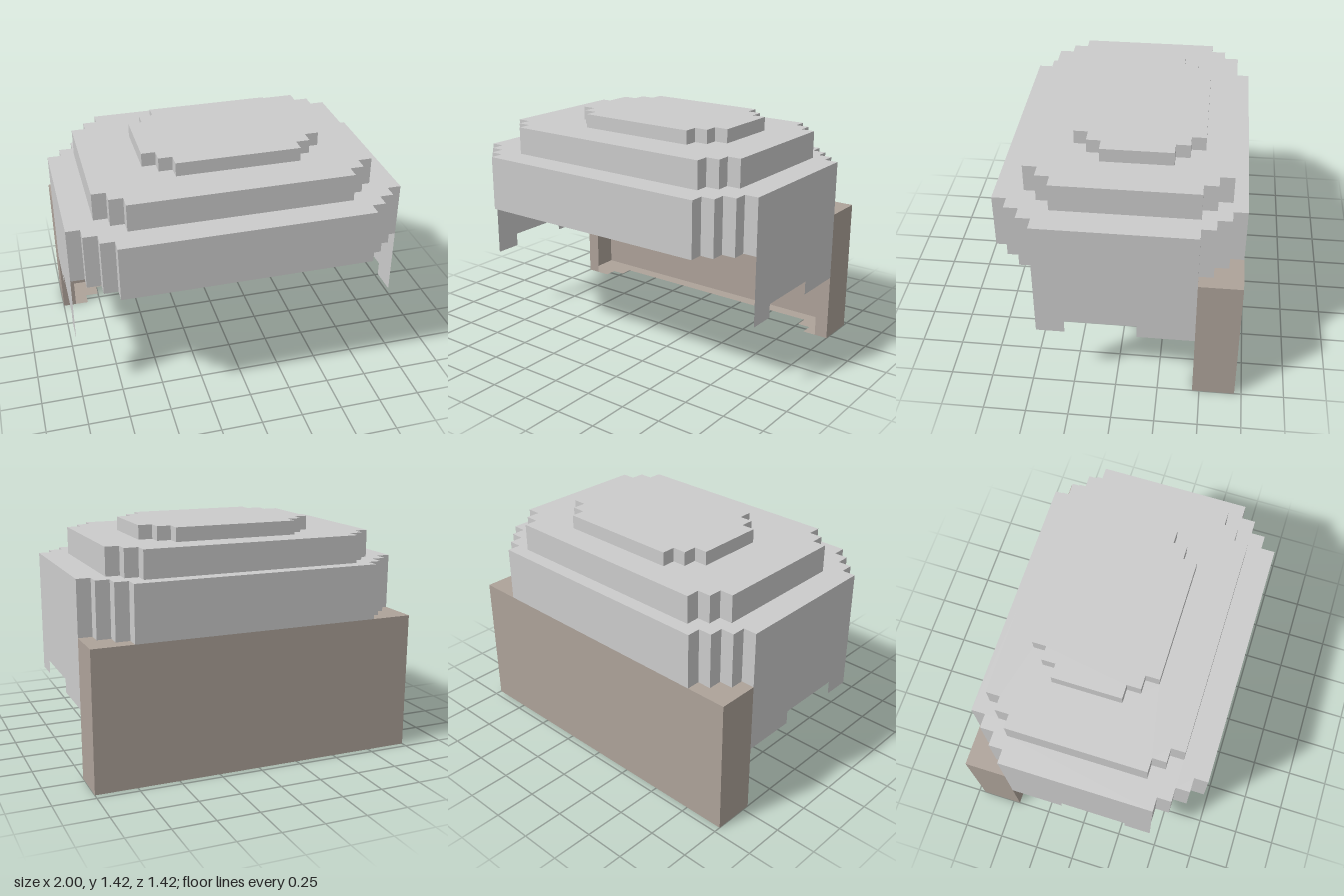
import * as THREE from 'three';

const U = 1 / 12; // one block

const grey = new THREE.MeshStandardMaterial({ color: 0xcccccc, flatShading: true, side: THREE.DoubleSide });
const brown = new THREE.MeshStandardMaterial({ color: 0xada299, flatShading: true, side: THREE.DoubleSide });

// Rectangle outline [x, z] whose corners are cut back in n one-block steps
function steppedOutline(x0, x1, z0, z1, n) {
  const corner = (x, z, sx, sz) => {
    const pts = [[x, z - sz * n]];
    for (let i = 1; i <= n; i++) {
      pts.push([x - sx * i, z - sz * (n - i + 1)], [x - sx * i, z - sz * (n - i)]);
    }
    return pts;
  };
  return [
    ...corner(x1, z1, 1, 1), ...corner(x0, z1, -1, 1).reverse(),
    ...corner(x0, z0, -1, -1), ...corner(x1, z0, 1, -1).reverse(),
  ];
}

// Upright wall following a path of [x, z] points
function wall(path, y0, y1, closed) {
  const pos = [];
  const count = closed ? path.length : path.length - 1;
  for (let i = 0; i < count; i++) {
    const [ax, az] = path[i];
    const [bx, bz] = path[(i + 1) % path.length];
    pos.push(ax, y0, az, ax, y1, az, bx, y1, bz, ax, y0, az, bx, y1, bz, bx, y0, bz);
  }
  const geo = new THREE.BufferGeometry();
  geo.setAttribute('position', new THREE.Float32BufferAttribute(pos, 3));
  geo.computeVertexNormals();
  return geo;
}

// Level sheet with an [x, z] outline and an optional hole
function sheet(outline, y, hole) {
  const vecs = (pts) => pts.map(([x, z]) => new THREE.Vector2(x, -z));
  const shape = new THREE.Shape(vecs(outline));
  if (hole) shape.holes.push(new THREE.Path(vecs(hole)));
  return new THREE.ShapeGeometry(shape).rotateX(-Math.PI / 2).translate(0, y, 0);
}

export function createModel() {
  const model = new THREE.Group();
  model.name = 'steppedShell';
  const add = (name, geo, mat) => {
    const mesh = new THREE.Mesh(geo.scale(U, U, U), mat);
    mesh.name = name;
    model.add(mesh);
  };

  // Three stacked tiers of the domed top, hollow underneath
  const tiers = [
    { name: 'lowerTier', outline: steppedOutline(-12, 12, -8.5, 8.5, 3), y0: 10, y1: 14 },
    { name: 'middleTier', outline: steppedOutline(-10, 10, -7.5, 6.5, 2), y0: 14, y1: 16 },
    { name: 'topTier', outline: steppedOutline(-6, 7, -5.5, 3.5, 2), y0: 16, y1: 17 },
  ];
  tiers.forEach(({ name, outline, y0, y1 }, i) => {
    add(name + 'Wall', wall(outline, y0, y1, true), grey);
    add(name + 'Top', sheet(outline, y1, tiers[i + 1]?.outline), grey);
  });

  // Thin side panels with a notch in the lower edge, drawn as [z, y]
  const panel = [[-5.5, 10], [-5.5, 5], [-1.5, 5], [-1.5, 6], [3.5, 6], [3.5, 5], [5.5, 5], [5.5, 10]];
  for (const side of [1, -1]) {
    const shape = new THREE.Shape(panel.map(([z, y]) => new THREE.Vector2(-side * z, y)));
    const geo = new THREE.ShapeGeometry(shape).rotateY(side * Math.PI / 2).translate(side * 12, 0, 0);
    add(side > 0 ? 'leftPanel' : 'rightPanel', geo, grey);
  }

  // Back guard: outer walls, stepped floor, corner ledges and front lips
  add('backGuardWall', wall([[-12, -5.5], [-12, -8.5], [12, -8.5], [12, -5.5]], 0, 10, false), brown);
  const half = [[12, -8.5], [12, -5.5], [10, -5.5], [10, -6.5], [9, -6.5], [9, -7.5]];
  const mirrored = half.map(([x, z]) => [-x, z]).reverse();
  add('backGuardFloor', sheet([...half, ...mirrored], 0), brown);

  const ledge = [[12, -5.5], [12, -8.5], [9, -8.5], [9, -7.5], [10, -7.5], [10, -6.5], [11, -6.5], [11, -5.5]];
  for (const side of [1, -1]) {
    const label = side > 0 ? 'left' : 'right';
    add(label + 'Ledge', sheet(ledge.map(([x, z]) => [side * x, z]), 10), brown);
    add(label + 'Lip', new THREE.PlaneGeometry(1, 5).translate(side * 11.5, 2.5, -5.5), brown);
  }
  return model;
}
